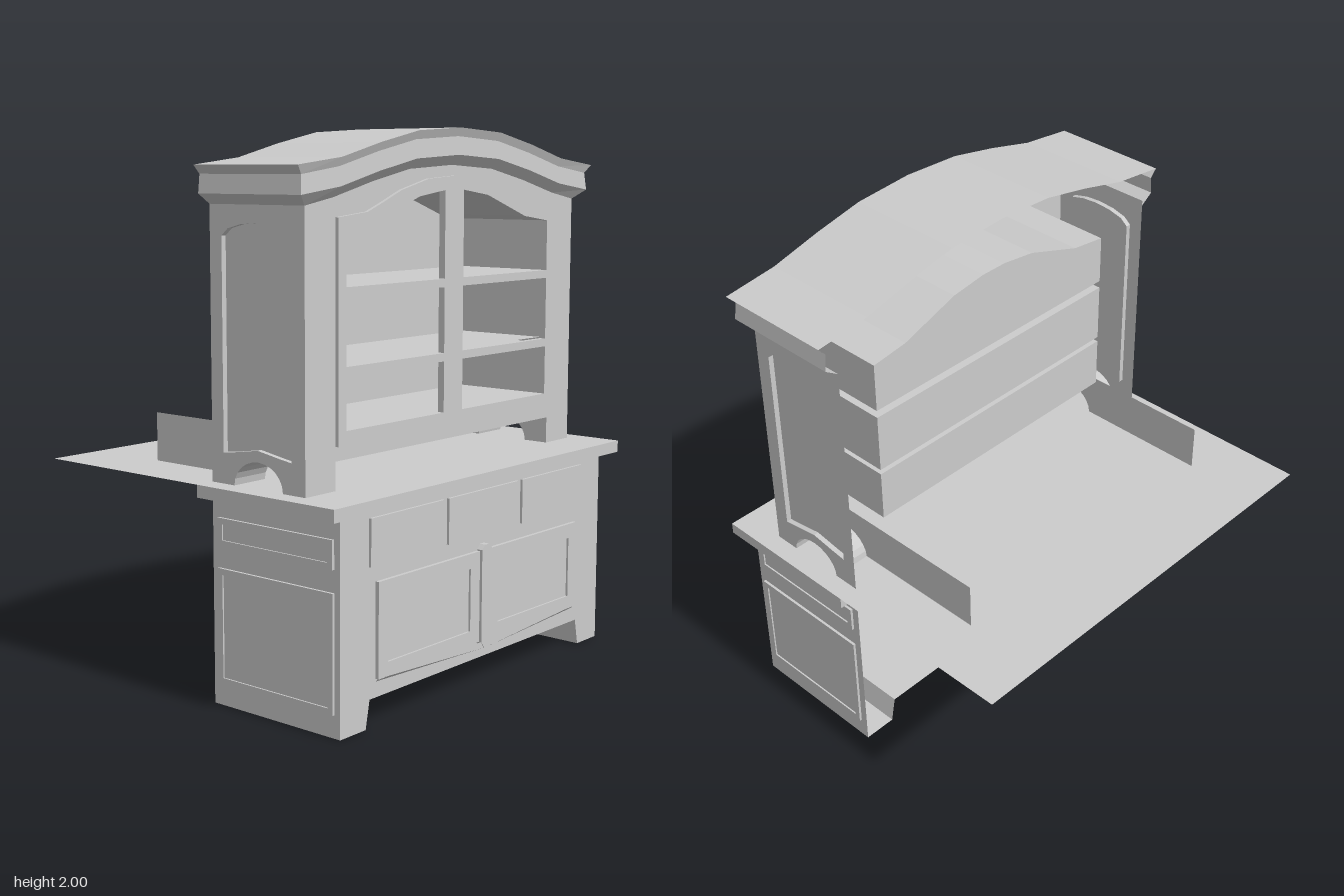
import * as THREE from 'three';

const mat = new THREE.MeshStandardMaterial({ color: 0xcccccc, side: THREE.DoubleSide, flatShading: true });

function add(parent, name, geo, z = 0) {
  const m = new THREE.Mesh(geo, mat);
  m.name = name;
  m.position.z = z;
  parent.add(m);
  return m;
}

const toVec = (pts) => pts.map((p) => new THREE.Vector2(p[0], p[1]));
const rect = (x0, x1, y0, y1) => [[x0, y0], [x1, y0], [x1, y1], [x0, y1]];
const mirrorX = (pts) => pts.map(([x, y]) => [-x, y]);

// Flat sheet (depth 0) or thin board with optional holes
function board(pts, depth = 0, holes = []) {
  const s = new THREE.Shape(toVec(pts));
  holes.forEach((h) => s.holes.push(new THREE.Path(toVec(h))));
  return depth ? new THREE.ExtrudeGeometry(s, { depth, bevelEnabled: false }) : new THREE.ShapeGeometry(s);
}

// Surface through rows of [x, y, z] points
function surface(rows) {
  const pos = [];
  for (let i = 0; i < rows.length - 1; i++) {
    for (let j = 0; j < rows[i].length - 1; j++) {
      const a = rows[i][j], b = rows[i][j + 1], c = rows[i + 1][j + 1], d = rows[i + 1][j];
      pos.push(...a, ...b, ...c, ...a, ...c, ...d);
    }
  }
  const g = new THREE.BufferGeometry();
  g.setAttribute('position', new THREE.Float32BufferAttribute(pos, 3));
  g.computeVertexNormals();
  return g;
}

// Strip that sweeps an outline from depth z0 to z1
const sweep = (pts, z0, z1) => surface([z0, z1].map((z) => pts.map(([x, y]) => [x, y, z])));

// Raised rim with a slightly lower field inside
function framedPanel(parent, name, x0, x1, y0, y1, border, z, height) {
  const inner = rect(x0 + border, x1 - border, y0 + border, y1 - border);
  add(parent, name + 'Rim', board(rect(x0, x1, y0, y1), height, [inner]), z);
  add(parent, name + 'Field', board(inner), z + height * 0.4);
}

const BACK = 0.07, HUTCH = 0.5, BASE = 0.65, HALF = 0.78, TOP = 0.79;

// Arched cut-out at the foot of the hutch sides
const footArch = [];
for (let i = 0; i <= 12; i++) {
  const a = Math.PI * i / 12;
  footArch.push([0.2875 + 0.1125 * Math.cos(a), TOP + 0.092 * Math.sin(a)]);
}

// One complete side, drawn in depth (x) and height (y), facing local +z
function makeSide() {
  const side = new THREE.Group();
  add(side, 'baseSide', board(rect(BACK, BASE, 0, 0.745)));
  framedPanel(side, 'upperSidePanel', 0.1, 0.625, 0.57, 0.67, 0.022, 0, 0.01);
  framedPanel(side, 'lowerSidePanel', 0.1, 0.625, 0.08, 0.492, 0.022, 0, 0.01);

  const recess = [[0.125, 0.898], [0.18, 0.905], [0.285, 0.922], [0.39, 0.905], [0.44, 0.898],
    [0.44, 1.635], [0.41, 1.66], [0.35, 1.675], [0.285, 1.68], [0.215, 1.675], [0.155, 1.66], [0.125, 1.635]];
  const outline = [[BACK, TOP], [BACK, 1.76], [HUTCH, 1.76], [HUTCH, TOP], ...footArch];
  add(side, 'hutchSide', board(outline, 0, [recess]));
  add(side, 'recessWall', sweep([...recess, recess[0]], -0.02, 0));
  add(side, 'recessedPanel', board(recess), -0.02);

  // Arch tunnel and the inner cheek that runs on behind the cabinet
  add(side, 'archTunnel', sweep(footArch, -0.15, 0));
  add(side, 'innerCheek', board([[-0.37, TOP - 0.005], [-0.37, 0.97], [HUTCH, 0.97], [HUTCH, TOP], ...footArch]), -0.15);
  return side;
}

function makeBase(g) {
  const feet = [[-HALF, 0], [-0.65, 0], [-0.63, 0.1], [0.63, 0.1], [0.65, 0], [HALF, 0]];
  add(g, 'baseFront', board([...feet, [HALF, 0.745], [-HALF, 0.745]]), BASE);
  add(g, 'baseUnderside', sweep(feet, BACK, BASE));

  // Drawers
  for (const [a, b] of [[-0.635, -0.238], [-0.21, 0.21], [0.238, 0.635]]) {
    add(g, 'drawerFront', board(rect(a, b, 0.555, 0.72), 0.01), BASE);
  }
  // Doors, with a meeting post in the middle
  for (const s of [-1, 1]) {
    const door = new THREE.Group();
    door.name = 'baseDoor';
    const field = rect(0.085, 0.55, 0.215, 0.445);
    add(door, 'doorRim', board(rect(0.03, 0.6, 0.165, 0.5), 0.014, [field]), BASE);
    add(door, 'doorField', board(field), BASE + 0.006);
    add(door, 'doorSill', surface([
      [[0.01, 0.14, BASE + 0.022], [0.6, 0.155, BASE]],
      [[0.01, 0.165, BASE + 0.022], [0.6, 0.168, BASE + 0.014]]]));
    door.scale.x = s;
    g.add(door);
  }
  add(g, 'meetingPost', board([[-0.03, 0.165], [-0.012, 0.14], [0.012, 0.14], [0.03, 0.165],
    [0.03, 0.505], [0.012, 0.522], [-0.012, 0.522], [-0.03, 0.505]], 0.024), BASE);

  // Counter slab and the thin sheet that runs on behind it
  const slab = add(g, 'countertop', new THREE.BoxGeometry(1.71, 0.045, 0.62), 0.38);
  slab.position.y = 0.7675;
  const sheet = add(g, 'counterSheet', new THREE.PlaneGeometry(1.71, 0.76).rotateX(-Math.PI / 2), -0.31);
  sheet.position.y = TOP;
}

function makeHutch(g) {
  // Pane openings, right half then mirrored
  const paneTop = [[0.59, 1.66], [0.44, 1.68], [0.3, 1.728], [0.2, 1.762], [0.055, 1.782]];
  const half = [
    rect(0.055, 0.59, 0.99, 1.175),
    rect(0.055, 0.59, 1.205, 1.44),
    [[0.055, 1.47], [0.59, 1.47], ...paneTop]];
  const panes = [...half, ...half.map(mirrorX)];

  // Front carcass with the gap over the counter
  const crest = [[HALF, 1.76], [0.64, 1.785], [0.24, 1.87], [0, 1.885], [-0.24, 1.87], [-0.64, 1.785], [-HALF, 1.76]];
  add(g, 'hutchFront', board([[-HALF, TOP], [-0.63, TOP], [-0.63, 0.89], [0.63, 0.89], [0.63, TOP], [HALF, TOP], ...crest],
    0.012, panes), HUTCH - 0.012);

  // Raised glazed-door frame with an arched head
  const head = [[0.63, 1.7], [0.48, 1.715], [0.4, 1.745], [0.3, 1.785], [0.15, 1.822], [0, 1.832]];
  const doorOutline = [[-0.63, 0.94], [0.63, 0.94], ...head, ...mirrorX(head).reverse().slice(1)];
  add(g, 'displayDoors', board(doorOutline, 0.014, panes), HUTCH);

  // Open-fronted compartments
  const tops = [...paneTop, ...mirrorX(paneTop).reverse()];
  const cells = [rect(-0.59, 0.59, 0.99, 1.19), rect(-0.59, 0.59, 1.21, 1.44), [[-0.59, 1.47], [0.59, 1.47], ...tops]];
  for (const c of cells) {
    add(g, 'compartmentWalls', sweep([...c, c[0]], 0.11, HUTCH - 0.012));
    add(g, 'compartmentBack', board(c), 0.11);
  }
}

// Moulded crown that follows the arch, returns along both sides and carries the roof
function makeCrown(g) {
  const arch = [[0.64, 1.765], [0.44, 1.815], [0.24, 1.856], [0, 1.87]];
  const front = [...mirrorX(arch), ...arch.slice(0, -1).reverse()];
  // Side overhang, front overhang, rise
  const profile = [[0, 0, 0], [0.052, 0.033, 0.035], [0.045, 0.027, 0.1], [0.073, 0.04, 0.13]];
  const rows = profile.map(([s, f, h]) => {
    const x = HALF + s, y = 1.74 + h, z = HUTCH + f;
    return [[-x, y, BACK], [-x, y, z], ...front.map(([u, v]) => [u, v + h, z]), [x, y, z], [x, y, BACK]];
  });
  add(g, 'crownMoulding', surface(rows));
  const edge = rows[3].slice(1, -1);
  add(g, 'roof', sweep(edge, BACK, HUTCH + 0.04));
}

export function createModel() {
  const cabinet = new THREE.Group();
  cabinet.name = 'cabinet';
  makeBase(cabinet);
  makeHutch(cabinet);
  makeCrown(cabinet);
  for (const s of [-1, 1]) {
    const wing = new THREE.Group();
    wing.name = 'side';
    const side = makeSide();
    side.rotation.y = -Math.PI / 2;
    side.position.x = -HALF;
    wing.add(side);
    wing.scale.x = s;
    cabinet.add(wing);
  }
  // The cabinet front looks along +x
  cabinet.rotation.y = Math.PI / 2;
  const model = new THREE.Group();
  model.add(cabinet);
  return model;
}
